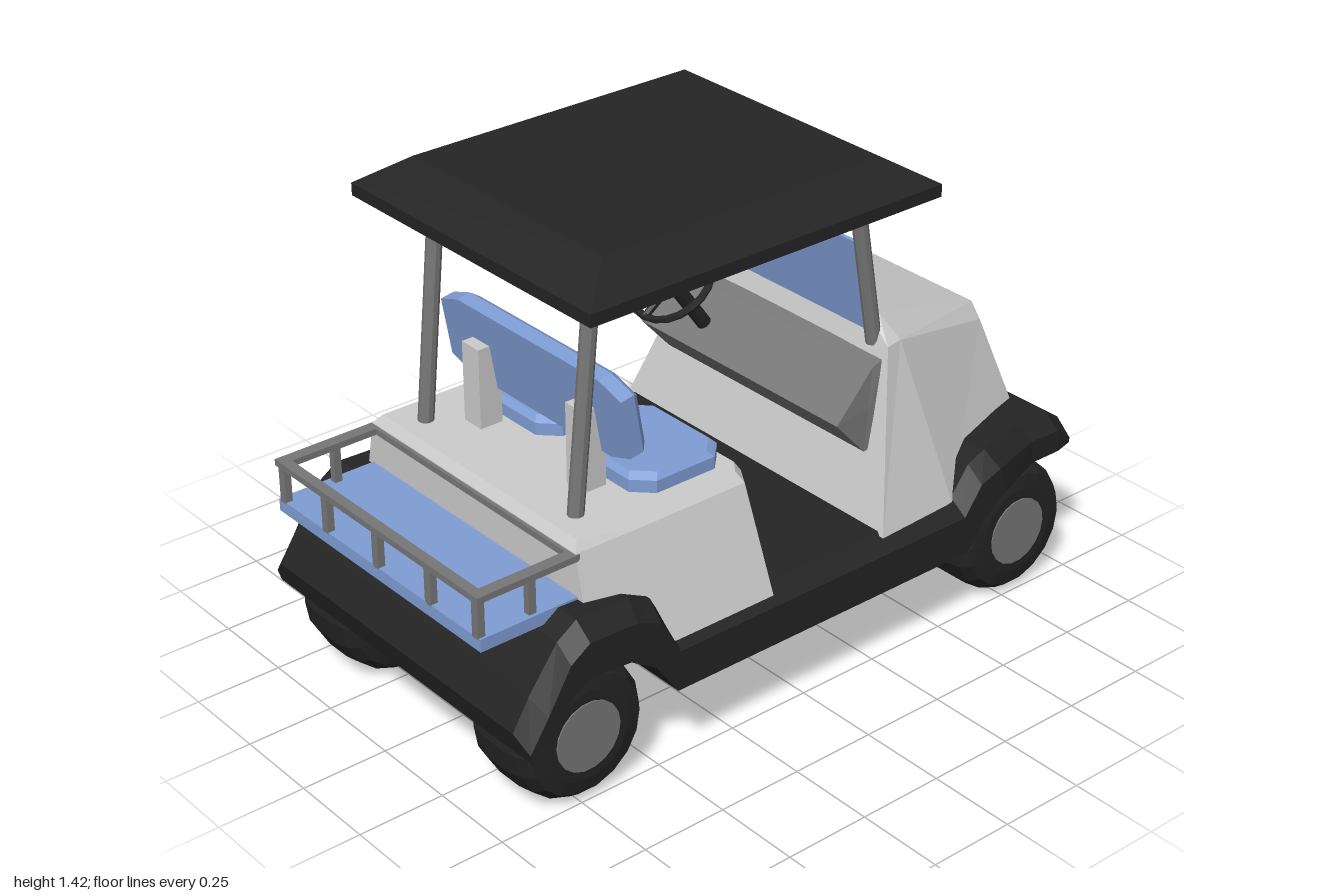
import * as THREE from 'three';

const mat = (color) => new THREE.MeshStandardMaterial({ color, flatShading: true, side: THREE.DoubleSide });
const LIGHT = mat(0xcccccc), BLACK = mat(0x242424), BLUE = mat(0x7f9dd4), GREY = mat(0x777777);

// Mirror a half outline of [x, y, z] points into a closed ring
const mirror = (half) => [...half, ...half.slice().reverse().map(([x, y, z]) => [-x, y, z])];

// Skin closed rings of equal length and cap both ends
function loft(rings) {
  const n = rings[0].length, tris = [];
  const centre = (r) => [0, 1, 2].map((k) => r.reduce((s, p) => s + p[k], 0) / n);
  for (let i = 0; i < rings.length - 1; i++) {
    for (let j = 0; j < n; j++) {
      const k = (j + 1) % n, [a, b] = [rings[i], rings[i + 1]];
      tris.push([a[j], a[k], b[k]], [a[j], b[k], b[j]]);
    }
  }
  const first = rings[0], last = rings[rings.length - 1];
  for (let j = 0; j < n; j++) {
    const k = (j + 1) % n;
    tris.push([centre(first), first[k], first[j]], [centre(last), last[j], last[k]]);
  }
  // Signed volume tells whether the faces point outward
  let vol = 0;
  for (const [a, b, c] of tris) {
    vol += new THREE.Vector3(...a).dot(new THREE.Vector3(...b).cross(new THREE.Vector3(...c)));
  }
  if (vol < 0) tris.forEach((t) => t.reverse());
  const g = new THREE.BufferGeometry();
  g.setAttribute('position', new THREE.Float32BufferAttribute(tris.flat(2), 3));
  g.computeVertexNormals();
  return g;
}

function add(parent, name, geo, material, x = 0, y = 0, z = 0) {
  const m = new THREE.Mesh(geo, material);
  m.name = name;
  m.position.set(x, y, z);
  parent.add(m);
  return m;
}

const box = (parent, name, material, w, h, d, x, y, z) =>
  add(parent, name, new THREE.BoxGeometry(w, h, d), material, x, y, z);

// Round bar between two points
function bar(parent, name, material, a, b, r, sides = 10) {
  const p = new THREE.Vector3(...a), q = new THREE.Vector3(...b);
  const m = add(parent, name, new THREE.CylinderGeometry(r, r, p.distanceTo(q), sides), material);
  m.position.copy(p).lerp(q, 0.5);
  m.quaternion.setFromUnitVectors(new THREE.Vector3(0, 1, 0), q.sub(p).normalize());
  return m;
}

// Eight-sided outline with cut corners, u by v
const octagon = (u, v, cu, cv) => [[u, v - cv], [u - cu, v], [cu - u, v], [-u, v - cv],
  [-u, cv - v], [cu - u, -v], [u - cu, -v], [u, cv - v]];

export function createModel() {
  const cart = new THREE.Group();
  cart.name = 'golfCart';

  // Chassis with raised fenders: zTop, yTop, zBottom, yBottom, half width
  const stations = [
    [0.96, 0.31, 0.935, 0.23, 0.555], [0.91, 0.395, 0.87, 0.31, 0.555],
    [0.82, 0.515, 0.81, 0.38, 0.555], [0.76, 0.555, 0.75, 0.41, 0.555],
    [0.6, 0.55, 0.63, 0.4, 0.555], [0.53, 0.52, 0.55, 0.35, 0.555],
    [0.47, 0.41, 0.48, 0.25, 0.555], [-0.52, 0.41, -0.545, 0.25, 0.555],
    [-0.58, 0.49, -0.6, 0.33, 0.555], [-0.64, 0.515, -0.68, 0.39, 0.555],
    [-0.82, 0.515, -0.84, 0.4, 0.505], [-0.93, 0.51, -0.94, 0.4, 0.505], [-1, 0.46, -1, 0.4, 0.49],
  ];
  add(cart, 'chassis', loft(stations.map(([zt, yt, zb, yb, w]) => {
    const c = 0.045, t = c / (yt - yb);
    return mirror([[w, yb, zb], [w, yt - c, zt + (zb - zt) * t], [w - 0.05, yt, zt]]);
  })), BLACK);

  // Wheels
  const tyre = [[0, -0.127], [0.13, -0.127], [0.17, -0.12], [0.192, -0.09], [0.2, -0.04],
    [0.2, 0.04], [0.192, 0.09], [0.17, 0.12], [0.13, 0.127], [0, 0.127]].map((p) => new THREE.Vector2(...p));
  const tyreGeo = new THREE.LatheGeometry(tyre, 18).rotateZ(-Math.PI / 2);
  const hubGeo = new THREE.CylinderGeometry(0.1, 0.1, 0.262, 18).rotateZ(Math.PI / 2);
  for (const z of [0.73, -0.79]) {
    for (const s of [-1, 1]) {
      const wheel = new THREE.Group();
      wheel.name = 'wheel';
      wheel.position.set(s * 0.378, 0.2, z);
      add(wheel, 'tyre', tyreGeo, BLACK);
      add(wheel, 'hub', hubGeo, GREY);
      cart.add(wheel);
    }
  }

  // Seat base, widening toward the floor
  add(cart, 'seatBase', loft([
    mirror([[0.46, 0.39, 0.11], [0.54, 0.39, 0.15], [0.54, 0.39, 0.47], [0.49, 0.39, 0.7]]),
    mirror([[0.38, 0.68, 0.125], [0.435, 0.68, 0.16], [0.435, 0.68, 0.5], [0.43, 0.68, 0.7]]),
    mirror([[0.37, 0.705, 0.14], [0.41, 0.705, 0.17], [0.41, 0.705, 0.5], [0.41, 0.705, 0.68]]),
  ]), LIGHT);

  // Front cowl
  add(cart, 'cowl', loft([
    mirror([[0.53, 0.4, -0.245], [0.38, 0.86, -0.385], [0.31, 0.9, -0.4]]),
    mirror([[0.515, 0.4, -0.515], [0.37, 0.86, -0.44], [0.3, 0.92, -0.425]]),
    mirror([[0.345, 0.5, -0.91], [0.27, 0.75, -0.845], [0.23, 0.79, -0.85]]),
    mirror([[0.305, 0.5, -0.935], [0.22, 0.71, -0.89], [0.2, 0.745, -0.88]]),
  ]), LIGHT);

  // Dashboard wedge
  add(cart, 'dashboard', loft([-1, 1].map((s) => [[s * 0.4, 0.7, -0.19], [s * 0.4, 0.59, -0.29],
    [s * 0.4, 0.6, -0.36], [s * 0.37, 0.83, -0.39], [s * 0.37, 0.81, -0.34]])), GREY);

  // Steering wheel and column on the driver's side
  const steering = new THREE.Group();
  steering.name = 'steeringWheel';
  steering.position.set(-0.21, 0.903, -0.143);
  steering.rotation.x = Math.atan2(0.155, 0.215);
  add(steering, 'rim', new THREE.TorusGeometry(0.12, 0.011, 6, 20).rotateX(Math.PI / 2), BLACK);
  for (let i = 0; i < 3; i++) {
    const a = Math.PI / 2 + (i * Math.PI * 2) / 3;
    bar(steering, 'spoke', BLACK, [0, 0, 0], [0.12 * Math.cos(a), 0, 0.12 * Math.sin(a)], 0.011, 6);
  }
  cart.add(steering);
  bar(cart, 'steeringColumn', BLACK, [-0.21, 0.903, -0.143], [-0.21, 0.72, -0.275], 0.022);

  // Seat cushions
  for (const s of [-1, 1]) {
    const ring = (y, inset) => octagon(0.175 - inset, 0.145 - inset, 0.05, 0.05).map(([x, z]) => [x, y, z]);
    add(cart, 'seatCushion', loft([ring(0.7, 0), ring(0.74, 0), ring(0.755, 0.015)]), BLUE, s * 0.19, 0, 0.295);
  }

  // Tilted backrest and its brackets
  const slab = (z, inset) => octagon(0.37 - inset, 0.115 - inset, 0.08, 0.03).map(([x, y]) => [x, y, z]);
  const back = add(cart, 'backrest', loft([slab(-0.03, 0.015), slab(-0.012, 0), slab(0.03, 0)]), BLUE, 0, 0.925, 0.462);
  back.rotation.x = 0.17;
  for (const s of [-1, 1]) box(cart, 'backrestBracket', LIGHT, 0.07, 0.235, 0.07, s * 0.215, 0.818, 0.495);

  // Roof
  const slice = (y, x, z0, z1) => mirror([[x, y, z0], [x, y, z1]]);
  add(cart, 'roof', loft([slice(1.31, 0.485, 0.685, -0.45), slice(1.345, 0.485, 0.685, -0.45),
    slice(1.42, 0.38, 0.565, -0.33)]), BLACK);
  for (const s of [-1, 1]) {
    bar(cart, 'rearPost', GREY, [s * 0.315, 0.69, 0.61], [s * 0.315, 1.33, 0.545], 0.022);
    bar(cart, 'frontPost', GREY, [s * 0.315, 0.85, -0.395], [s * 0.315, 1.33, -0.31], 0.022);
  }

  // Windscreen between the front posts
  const screen = box(cart, 'windscreen', BLUE, 0.6, 0.27, 0.01, 0, 1.015, -0.366);
  screen.rotation.x = 0.175;

  // Cargo rack
  box(cart, 'rackFloor', BLUE, 0.87, 0.036, 0.3, 0, 0.542, 0.845);
  box(cart, 'rackRail', GREY, 0.87, 0.018, 0.03, 0, 0.669, 0.985);
  box(cart, 'rackRail', GREY, 0.87, 0.018, 0.02, 0, 0.669, 0.7);
  for (const x of [-0.415, -0.222, 0, 0.222, 0.415]) box(cart, 'rackPost', GREY, 0.026, 0.11, 0.02, x, 0.61, 0.985);
  for (const s of [-1, 1]) {
    box(cart, 'rackRail', GREY, 0.035, 0.018, 0.3, s * 0.417, 0.669, 0.845);
    box(cart, 'rackPost', GREY, 0.02, 0.11, 0.022, s * 0.415, 0.61, 0.83);
  }
  return cart;
}
